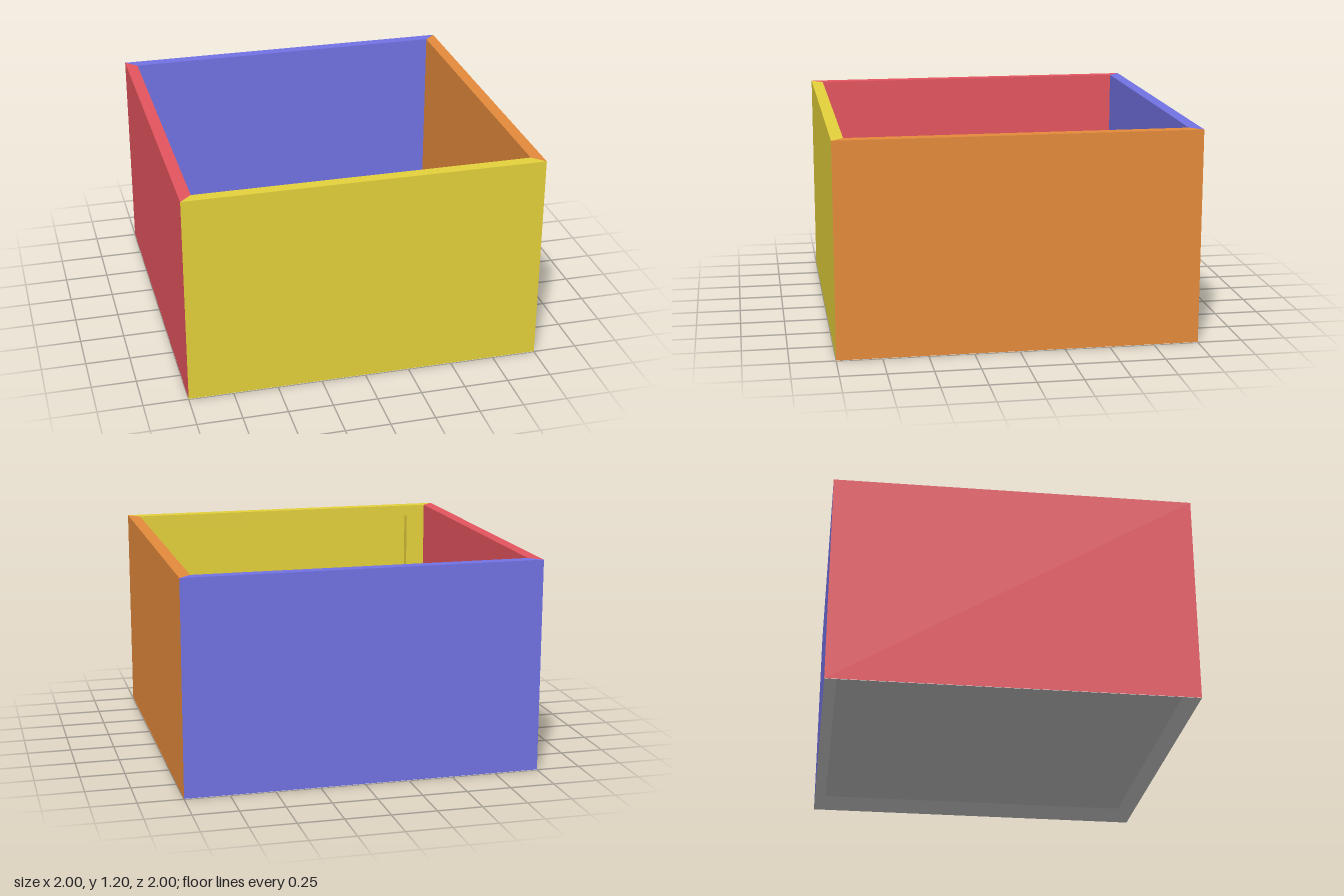
import * as THREE from 'three';

const HEIGHT = 1.2, T = 0.067, INNER = 1 - T, GAP = 0.002;

// Skins a row of rectangles [halfWidth, y0, y1, z], closing the last one and, if wanted, the first
function loft(rectangles, closeFirst) {
  const rings = rectangles.map(([w, y0, y1, z]) => [[-w, y0, z], [w, y0, z], [w, y1, z], [-w, y1, z]]);
  const points = [];
  const quad = (a, b, c, d) => points.push(...a, ...b, ...c, ...a, ...c, ...d);
  for (let r = 0; r < rings.length - 1; r++) {
    const a = rings[r], b = rings[r + 1];
    for (let i = 0; i < 4; i++) {
      const j = (i + 1) % 4;
      quad(a[i], b[i], b[j], a[j]);
    }
  }
  const [p, q, s, t] = rings[rings.length - 1];
  quad(p, t, s, q);
  if (closeFirst) quad(...rings[0]);
  const geo = new THREE.BufferGeometry();
  geo.setAttribute('position', new THREE.Float32BufferAttribute(points, 3));
  geo.computeVertexNormals();
  return geo;
}

// A panel facing +z with mitred ends and bottom, turned into place
function wall(name, color, angle, recess = []) {
  const body = [[1, GAP, HEIGHT, 1], [INNER, T + GAP, HEIGHT, INNER]];
  const mesh = new THREE.Mesh(
    loft([...body, ...recess], true),
    new THREE.MeshStandardMaterial({ color })
  );
  mesh.name = name;
  mesh.rotation.y = angle;
  return mesh;
}

export function createModel() {
  const model = new THREE.Group();
  model.name = 'openBox';

  // Four coloured walls; the front one has a shallow recess on its inner face
  const recess = [INNER, 0.983].map((z) => [0.817, 2 * T, HEIGHT - T, z]);
  model.add(
    wall('frontWall', 0xe6d33c, 0, recess),
    wall('leftWall', 0xe68c3c, Math.PI / 2),
    wall('backWall', 0x7373e6, Math.PI),
    wall('rightWall', 0xe6555f, -Math.PI / 2)
  );

  // Thin floor with sloping edges, open underneath
  const floor = new THREE.Mesh(
    loft([[1, -1, 1, 0], [INNER, -INNER, INNER, -T]], false),
    new THREE.MeshStandardMaterial({ color: 0xcccccc, side: THREE.DoubleSide })
  );
  floor.name = 'floor';
  floor.rotation.x = Math.PI / 2;
  model.add(floor);
  return model;
}
